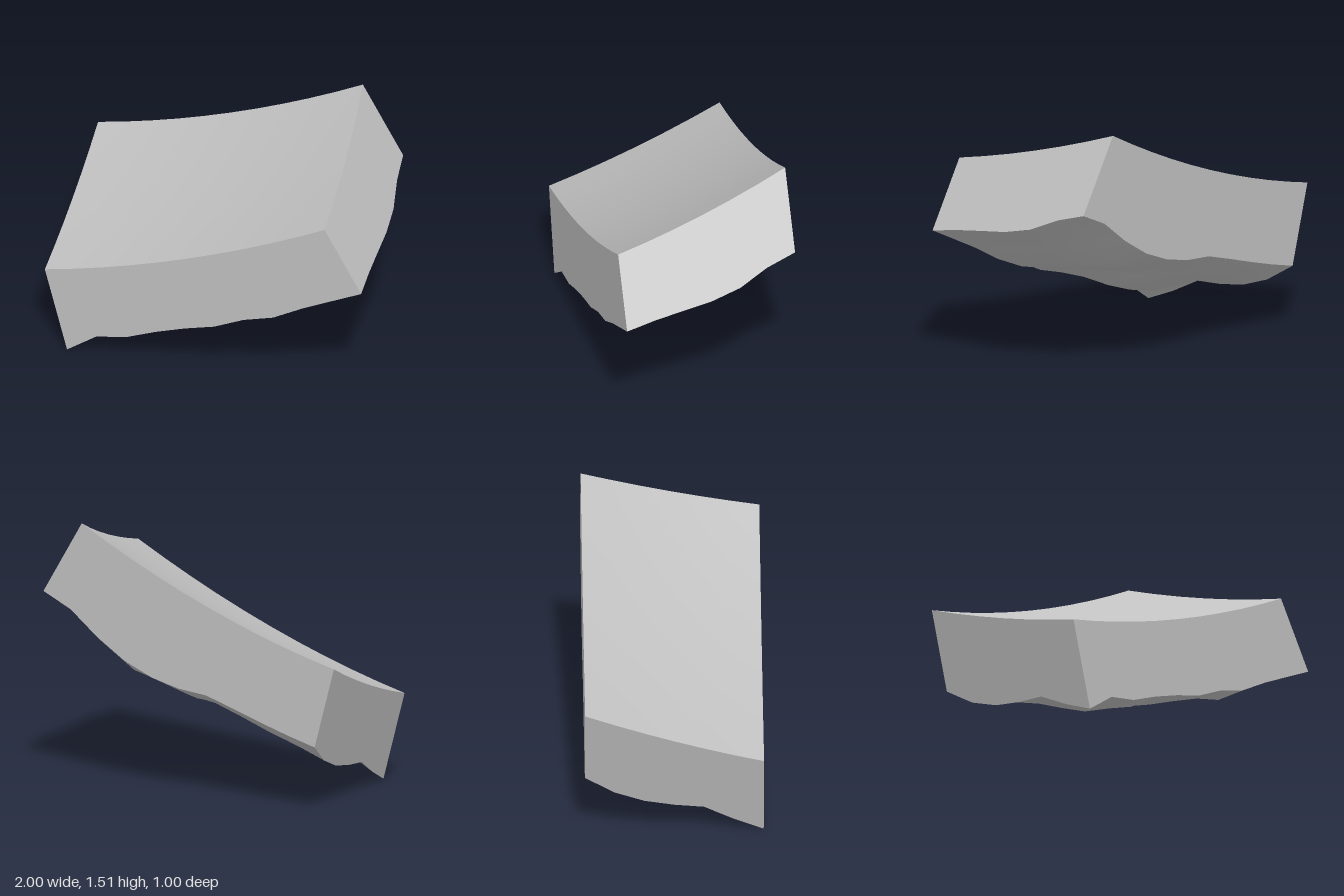
import * as THREE from 'three';

const NX = 10, NZ = 6;
// The sloping end planes: x as a function of height
const leftX = y => -0.775 - 0.265 * y;
const rightX = y => 1 - 0.588 * (y - 0.83);
const lerp = THREE.MathUtils.lerp;

// Heights of the four rough bottom edges (front/back run left to right, ends run front to back)
const frontEdge = [0, 0.133, 0.174, 0.255, 0.324, 0.382, 0.473, 0.534, 0.641, 0.736, 0.83];
const backEdge = [0.39, 0.44, 0.496, 0.556, 0.613, 0.633, 0.678, 0.755, 0.87, 1.014, 1.1];
const leftEnd = [0, 0.075, 0.167, 0.184, 0.215, 0.279, 0.39];
const rightEnd = [0.83, 0.865, 0.893, 0.92, 0.965, 1.045, 1.1];

// Lumps and hollows inside the underside: [column, row, height]
const lumps = [
  [2, 1, -0.065], [2, 2, -0.11], [2, 3, -0.05], [3, 1, -0.07], [3, 2, -0.05],
  [6, 1, -0.035], [6, 2, -0.04], [6, 3, -0.015], [7, 1, -0.045], [7, 2, -0.02],
  [4, 3, 0.03], [4, 4, 0.02], [8, 4, 0.035], [8, 3, 0.015], [7, 5, -0.03],
];

// Point on a row whose ends lie on the end planes
function onRow(u, v, y, yLeft, yRight) {
  return [lerp(leftX(yLeft), rightX(yRight), u), y, 0.5 - v];
}

function topPoint(i, j) {
  const u = i / NX, v = j / NZ;
  const dip = 0.02 * 4 * v * (1 - v);
  const yLeft = lerp(0.505, 0.85, v) - dip;
  const yRight = lerp(1.205, 1.513, v) - dip;
  const sag = 0.063 * 4 * u * (1 - u);
  return onRow(u, v, lerp(yLeft, yRight, u) - sag, yLeft, yRight);
}

function bottomPoint(i, j) {
  const u = i / NX, v = j / NZ;
  // Blend the four edges, then add the lumps
  const corners = lerp(lerp(0, 0.83, u), lerp(0.39, 1.1, u), v);
  let y = lerp(frontEdge[i], backEdge[i], v) + lerp(leftEnd[j], rightEnd[j], u) - corners;
  for (const [a, b, h] of lumps) if (a === i && b === j) y += h;
  return onRow(u, v, y, leftEnd[j], rightEnd[j]);
}

// Surface from a grid of points, smooth inside and sharp at its border
function grid(point, nu, nv, flip) {
  const position = [], index = [];
  for (let j = 0; j <= nv; j++) for (let i = 0; i <= nu; i++) position.push(...point(i, j));
  for (let j = 0; j < nv; j++) {
    for (let i = 0; i < nu; i++) {
      const a = j * (nu + 1) + i, b = a + 1, c = b + nu + 1, d = a + nu + 1;
      index.push(...(flip ? [a, c, b, a, d, c] : [a, b, c, a, c, d]));
    }
  }
  const geometry = new THREE.BufferGeometry();
  geometry.setAttribute('position', new THREE.Float32BufferAttribute(position, 3));
  geometry.setIndex(index);
  geometry.computeVertexNormals();
  return geometry;
}

export function createModel() {
  const group = new THREE.Group();
  group.name = 'curvedSlab';
  const stone = new THREE.MeshStandardMaterial({ color: 0xc0c0c0 });
  stone.name = 'stone grey';

  const add = (name, geometry) => {
    const mesh = new THREE.Mesh(geometry, stone);
    mesh.name = name;
    group.add(mesh);
  };
  const side = (i, j, k) => (k ? topPoint(i, j) : bottomPoint(i, j));

  // Dished top and rough underside
  add('topFace', grid(topPoint, NX, NZ, false));
  add('roughUnderside', grid(bottomPoint, NX, NZ, true));

  // Flat cut sides
  add('frontFace', grid((i, k) => side(i, 0, k), NX, 1, false));
  add('backFace', grid((i, k) => side(i, NZ, k), NX, 1, true));
  add('leftFace', grid((j, k) => side(NX, j, k), NZ, 1, false));
  add('rightFace', grid((j, k) => side(0, j, k), NZ, 1, true));
  return group;
}
